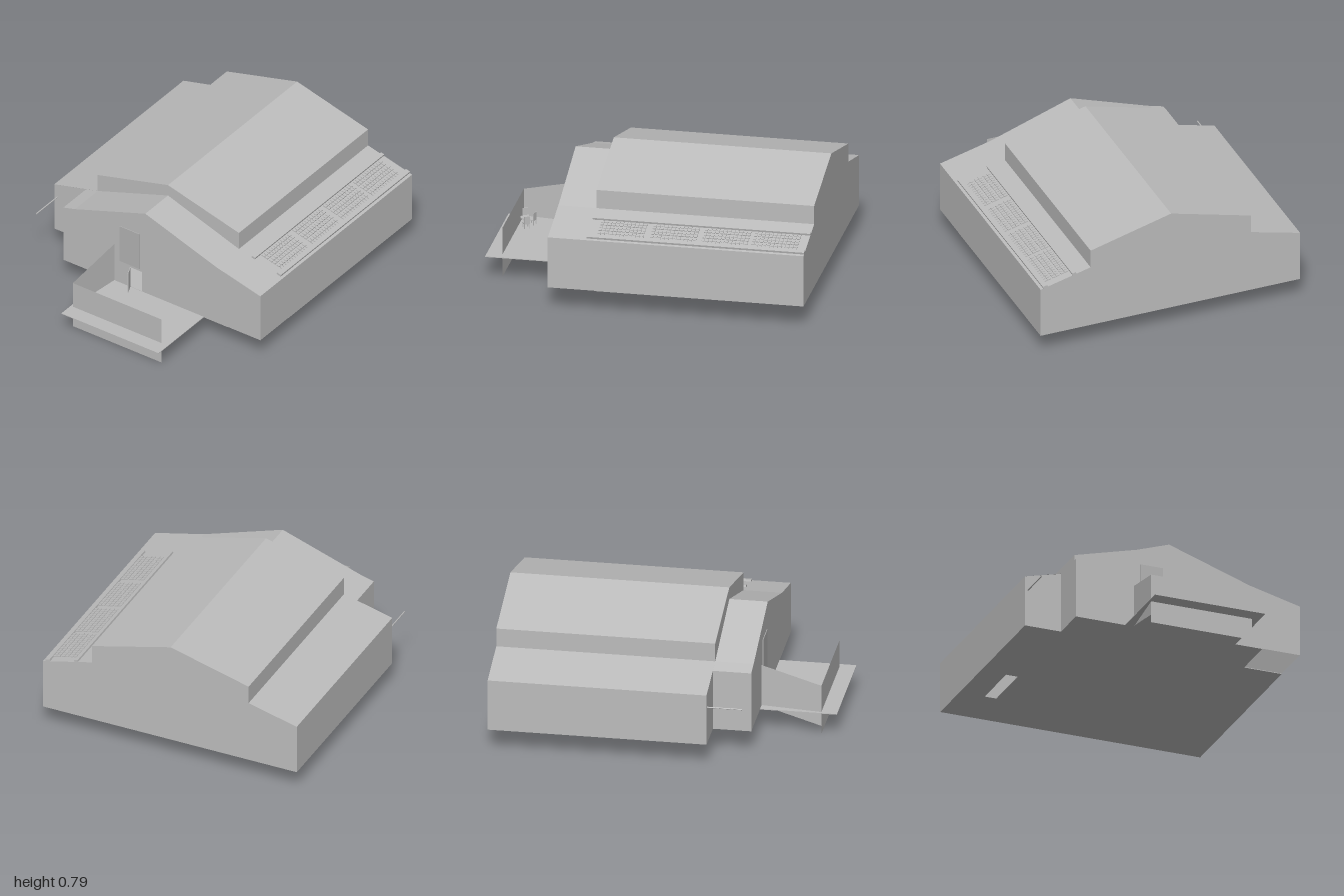
import * as THREE from 'three';
import { mergeGeometries } from 'three/addons/utils/BufferGeometryUtils.js';

export function createModel() {
  const model = new THREE.Group();
  model.name = 'hall';
  const grey = new THREE.MeshStandardMaterial({ color: 0xbcbcbc, side: THREE.DoubleSide });
  grey.name = 'plaster grey';
  const dim = new THREE.MeshStandardMaterial({ color: 0xb2b2b2, side: THREE.DoubleSide });
  dim.name = 'window grey';

  const add = (name, geometry, parent = model, material = grey) => {
    const mesh = new THREE.Mesh(geometry, material);
    mesh.name = name;
    parent.add(mesh);
    return mesh;
  };
  const outline = (pts) => pts.map(([x, y]) => new THREE.Vector2(x, y));
  // flat upright wall at depth z, with optional openings
  const wall = (name, pts, z, holes = []) => {
    const shape = new THREE.Shape(outline(pts));
    holes.forEach((h) => shape.holes.push(new THREE.Path(outline(h))));
    return add(name, new THREE.ShapeGeometry(shape).translate(0, 0, z));
  };
  const quads = (list) => {
    const pos = [];
    list.forEach(([a, b, c, d]) => pos.push(...a, ...b, ...c, ...a, ...c, ...d));
    const g = new THREE.BufferGeometry();
    g.setAttribute('position', new THREE.Float32BufferAttribute(pos, 3));
    g.computeVertexNormals();
    return g;
  };
  // sheet following an open profile, running from z0 (back) to z1 (front)
  const sweep = (name, pts, z0, z1) =>
    add(name, quads(pts.slice(1).map(([x, y], i) => {
      const [px, py] = pts[i];
      return [[px, py, z0], [px, py, z1], [x, y, z1], [x, y, z0]];
    })));
  const box = (w, h, d, x, y, z) => new THREE.BoxGeometry(w, h, d).translate(x, y, z);

  const base = 0.138, back = -1, mid = 0.31, front = 0.54;
  const upper = [[-0.515, 0.535], [-0.515, 0.65], [-0.005, 0.785], [0.51, 0.65], [0.51, 0.535]];
  const lower = [[-0.6, 0.512], [-0.515, 0.535], [-0.005, 0.71], [0.51, 0.535], [0.83, 0.455]];

  // walls and roofs
  sweep('mainHallRoof', [[-0.83, 0.455], ...upper, [0.83, 0.455]], back, mid);
  sweep('frontRoof', lower, mid, front);
  sweep('leftSideWall', [[0.83, base], [0.83, 0.455]], back, front);
  sweep('rightSideWall', [[-0.83, 0.455], [-0.83, base]], back, mid);
  sweep('frontReturnWall', [[-0.6, 0.512], [-0.6, base]], mid, front);
  wall('backWall', [[-0.83, base], [-0.83, 0.455], ...upper, [0.83, 0.455], [0.83, base]], back)
    .rotation.set(0, 0, 0);
  wall('setBackWall', [[-0.83, base], [-0.6, base], [-0.6, 0.512], [-0.83, 0.455]], mid);
  wall('upperGable', [...upper, [-0.005, 0.71]], mid);
  wall('frontWall', [[-0.6, base], ...lower, [0.83, base]], front,
    [[[-0.115, 0.142], [-0.03, 0.142], [-0.03, 0.28], [-0.115, 0.28]]]);
  add('frontWindow', box(0.145, 0.25, 0.004, -0.117, 0.422, front + 0.002), model, dim);
  add('doorLeaf', box(0.004, 0.138, 0.066, 0, 0.21, 0.033).rotateY(0.42).translate(-0.115, 0, front));

  // floor slab with terrace, an open corner and a stair opening (shape y is -z)
  const floor = new THREE.Shape(outline([
    [-0.83, 1], [0.83, 1], [0.83, -0.26], [0.59, -0.26], [0.59, -0.54], [0.42, -0.54],
    [0.42, -1], [-0.285, -1], [-0.285, -0.54], [-0.6, -0.54], [-0.6, -0.31], [-0.83, -0.31],
  ]));
  floor.holes.push(new THREE.Path(outline([[-0.67, 0.37], [-0.595, 0.37], [-0.595, 0.7], [-0.67, 0.7]])));
  add('floor', new THREE.ExtrudeGeometry(floor, { depth: 0.004, bevelEnabled: false })
    .rotateX(-Math.PI / 2).translate(0, 0.136, 0));

  // terrace screens
  wall('terraceFrontPanel', [[-0.27, 0], [0.375, 0], [0.375, 0.31], [-0.27, 0.31]], 0.905);
  add('terraceSidePanel', quads([[
    [-0.23, 0.14, front], [-0.27, 0.05, 0.905], [-0.27, 0.31, 0.905], [-0.23, 0.4, front],
  ]]));

  // pole projecting from the set-back wall
  add('pole', new THREE.CylinderGeometry(0.004, 0.004, 0.21, 8)
    .rotateX(Math.PI / 2).translate(-0.81, 0.37, 0.415));

  // roof panels lying on the left slope
  const array = new THREE.Group();
  array.name = 'roofPanels';
  array.position.set(0.51, 0.535, 0);
  array.rotation.z = -Math.atan2(0.08, 0.32);
  model.add(array);
  const length = mid - back;
  [[0.106, 0.024], [0.297, 0.03]].forEach(([s, w]) =>
    add('rail', box(w, 0.012, length, s, 0.006, (mid + back) / 2), array));
  const cells = [];
  [-0.95, -0.65, -0.34, -0.025].forEach((start) => {
    for (let row = 0; row < 12; row++)
      for (let col = 0; col < 6; col++) {
        const s = 0.137 + col * 0.0245 + Math.floor(col / 2) * 0.007;
        cells.push(box(0.02, 0.006, 0.018, s, 0.004, start + 0.011 + row * 0.0235));
      }
  });
  add('panelCells', mergeGeometries(cells), array);

  // terrace table and chairs
  const table = new THREE.Group();
  table.name = 'table';
  table.position.set(-0.13, 0.14, 0.873);
  model.add(table);
  add('tableTop', new THREE.CylinderGeometry(0.025, 0.025, 0.005, 20).translate(0, 0.045, 0), table);
  add('tableLeg', new THREE.CylinderGeometry(0.004, 0.004, 0.043, 8).translate(0, 0.0215, 0), table);
  [[-0.188, 0.875, -1.2], [-0.145, 0.828, 2.8], [-0.08, 0.852, 2.1]].forEach(([x, z, turn]) => {
    const chair = new THREE.Group();
    chair.name = 'chair';
    chair.position.set(x, 0.14, z);
    chair.rotation.y = turn;
    model.add(chair);
    add('seat', box(0.036, 0.005, 0.036, 0, 0.03, 0), chair);
    add('backrest', box(0.036, 0.045, 0.004, 0, 0.054, 0.016), chair);
    for (const sx of [-1, 1]) for (const sz of [-1, 1])
      add('chairLeg', box(0.004, 0.03, 0.004, sx * 0.016, 0.015, sz * 0.016), chair);
  });

  return model;
}
